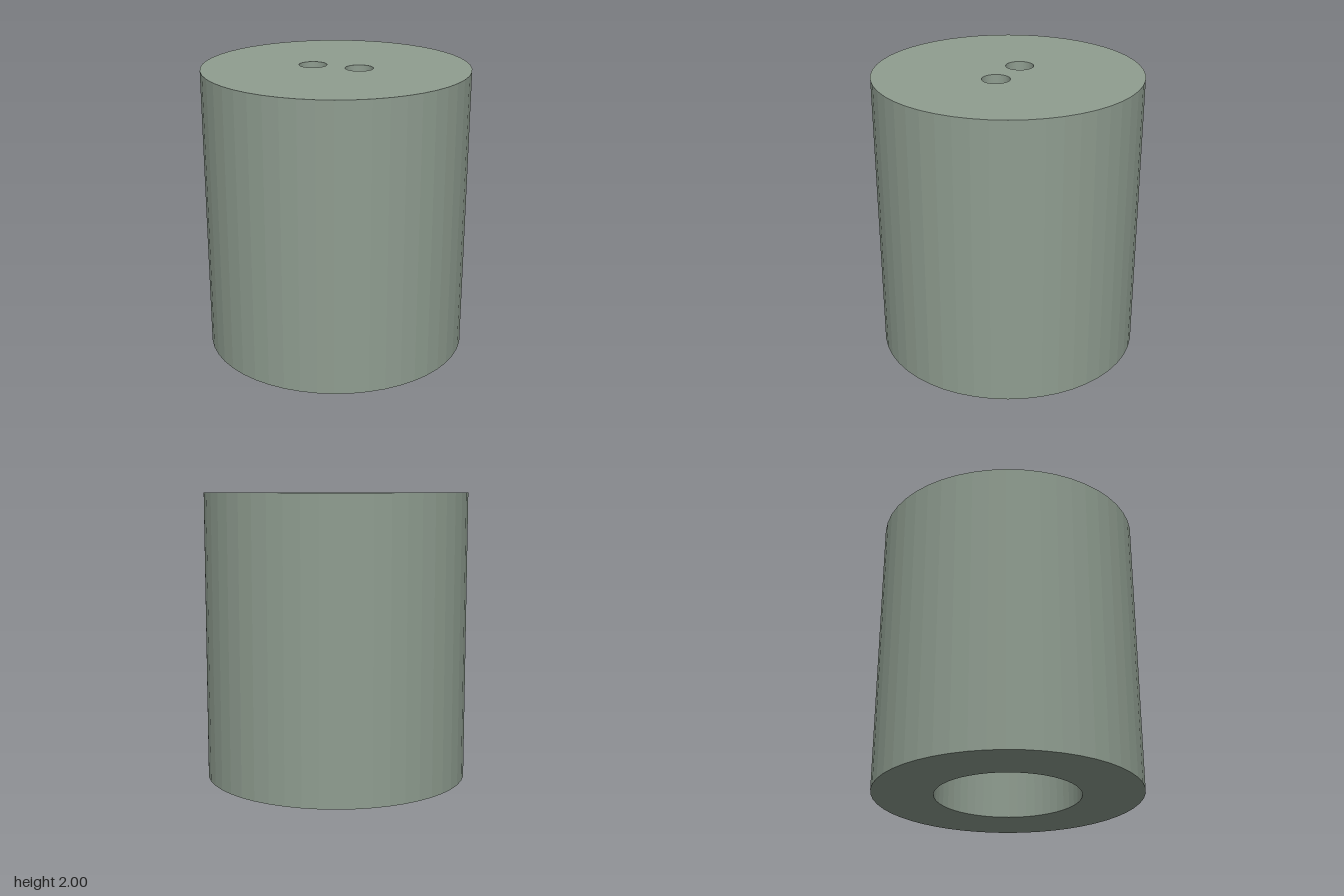
import * as THREE from 'three';

const SIDES = 50, R = 0.92, BORE = 0.5, HEIGHT = 2, CEILING = 1.55;
const HOLE_R = 0.096, HOLE_X = 0.166;

// Regular polygon whose corners match those of the turned walls
function ring(radius, cx = 0) {
  const points = [];
  for (let i = 0; i < SIDES; i++) {
    const a = (i / SIDES) * Math.PI * 2;
    points.push(new THREE.Vector2(cx + radius * Math.cos(a), radius * Math.sin(a)));
  }
  return points;
}

// Flat disc pierced by the two cord holes
function piercedDisc(radius) {
  const shape = new THREE.Shape(ring(radius));
  for (const s of [-1, 1]) shape.holes.push(new THREE.Path(ring(HOLE_R, s * HOLE_X)));
  return new THREE.ShapeGeometry(shape);
}

function turned(profile) {
  const points = profile.map(([r, y]) => new THREE.Vector2(r, y));
  return new THREE.LatheGeometry(points, SIDES, Math.PI / 2);
}

export function createModel() {
  const group = new THREE.Group();
  group.name = 'cordEnd';
  const material = new THREE.MeshStandardMaterial({ color: 0x8f9d90, flatShading: true });
  const add = (name, geometry) => {
    const mesh = new THREE.Mesh(geometry, material);
    mesh.name = name;
    group.add(mesh);
    return mesh;
  };

  // Bore wall, bottom rim and outer wall in one profile
  add('body', turned([[BORE, CEILING], [BORE, 0], [R, 0], [R, HEIGHT]]));

  // Top face and the ceiling of the bore
  add('topFace', piercedDisc(R).rotateX(-Math.PI / 2)).position.y = HEIGHT;
  add('boreCeiling', piercedDisc(BORE).rotateX(Math.PI / 2)).position.y = CEILING;

  // Walls of the two holes, facing inward
  for (const [name, s] of [['leftHole', 1], ['rightHole', -1]]) {
    add(name, turned([[HOLE_R, HEIGHT], [HOLE_R, CEILING]])).position.x = s * HOLE_X;
  }
  return group;
}
